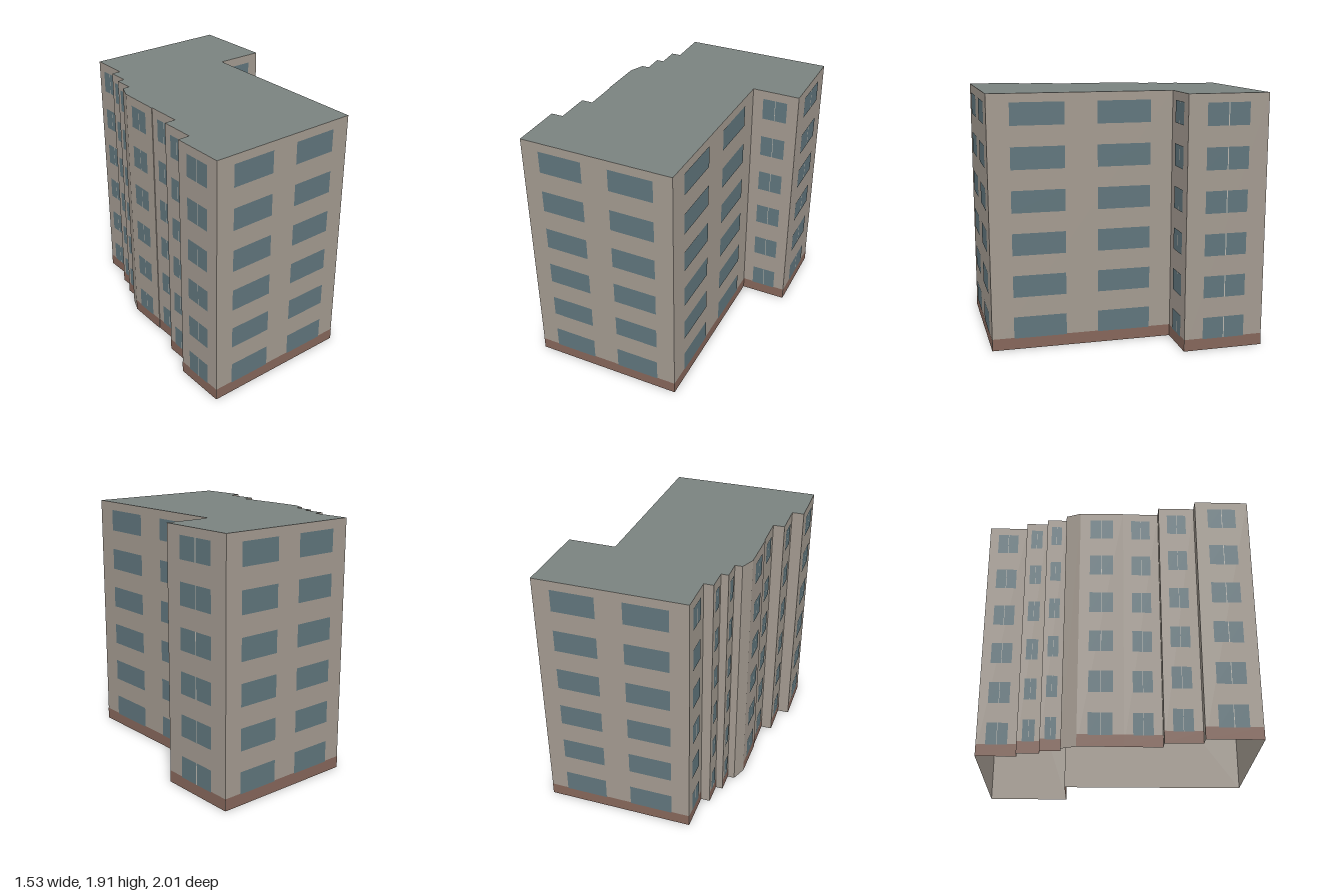
import * as THREE from 'three';

const HEIGHT = 1.91, PLINTH = 0.09, FLOORS = 6, PITCH = 0.319;
const SILL = 0.085, WINDOW_H = 0.166;

// Floor plan as [x, z], running so that every wall faces outward
const PLAN = [
  [-0.76, 0.99], [0.39, 1], [0.4, -0.385], [0.76, -0.38], [0.76, -0.995],
  [-0.36, -1], [-0.36, -0.705], [-0.43, -0.705], [-0.43, -0.54],
  [-0.485, -0.54], [-0.485, -0.39], [-0.54, -0.39], [-0.585, -0.28],
  [-0.59, 0.05], [-0.585, 0.05], [-0.585, 0.32], [-0.67, 0.32],
  [-0.67, 0.59], [-0.76, 0.59],
];

// Window spans as fractions of the wall length
const WIDE = [[0.119, 0.408], [0.585, 0.877]];
const PAIR = [[0.232, 0.494], [0.506, 0.76]];

const paint = (color, side = THREE.FrontSide) =>
  new THREE.MeshStandardMaterial({ color, side });

export function createModel() {
  const wallMat = paint(0xa39a90, THREE.DoubleSide);
  const roofMat = paint(0x7a827f, THREE.DoubleSide);
  const plinthMat = paint(0x85665a);
  const glassMat = paint(0x60757c);
  const mullionMat = paint(0xb9b6ae);

  const model = new THREE.Group();
  model.name = 'apartmentBlock';

  // Upright panel in wall space: x along the wall, z outward
  const panel = (name, mat, x0, x1, y0, y1, z) => {
    const mesh = new THREE.Mesh(new THREE.PlaneGeometry(x1 - x0, y1 - y0), mat);
    mesh.position.set((x0 + x1) / 2, (y0 + y1) / 2, z);
    mesh.name = name;
    return mesh;
  };

  PLAN.forEach(([x, z], i) => {
    const [nx, nz] = PLAN[(i + 1) % PLAN.length];
    const length = Math.hypot(nx - x, nz - z);
    const wall = new THREE.Group();
    wall.name = 'wall';
    wall.position.set(x, 0, z);
    wall.rotation.y = Math.atan2(z - nz, nx - x);
    wall.add(panel('wallFace', wallMat, 0, length, 0, HEIGHT, 0));
    model.add(wall);

    // Short returns and the chamfer stay plain
    if (length < 0.14) return;
    wall.add(panel('plinth', plinthMat, 0, length, 0, PLINTH, 0.002));

    const spans = length > 1 ? WIDE : PAIR;
    for (let f = 0; f < FLOORS; f++) {
      const y = SILL + f * PITCH;
      for (const [a, b] of spans) {
        wall.add(panel('window', glassMat, a * length, b * length, y, y + WINDOW_H, 0.004));
      }
      if (spans === PAIR) {
        wall.add(panel('mullion', mullionMat, 0.494 * length, 0.506 * length, y, y + WINDOW_H, 0.004));
      }
    }
  });

  // Flat roof; the underside of the block is open
  const outline = new THREE.Shape(PLAN.map(([x, z]) => new THREE.Vector2(x, -z)));
  const roof = new THREE.Mesh(new THREE.ShapeGeometry(outline).rotateX(-Math.PI / 2), roofMat);
  roof.position.y = HEIGHT;
  roof.name = 'roof';
  model.add(roof);

  return model;
}
